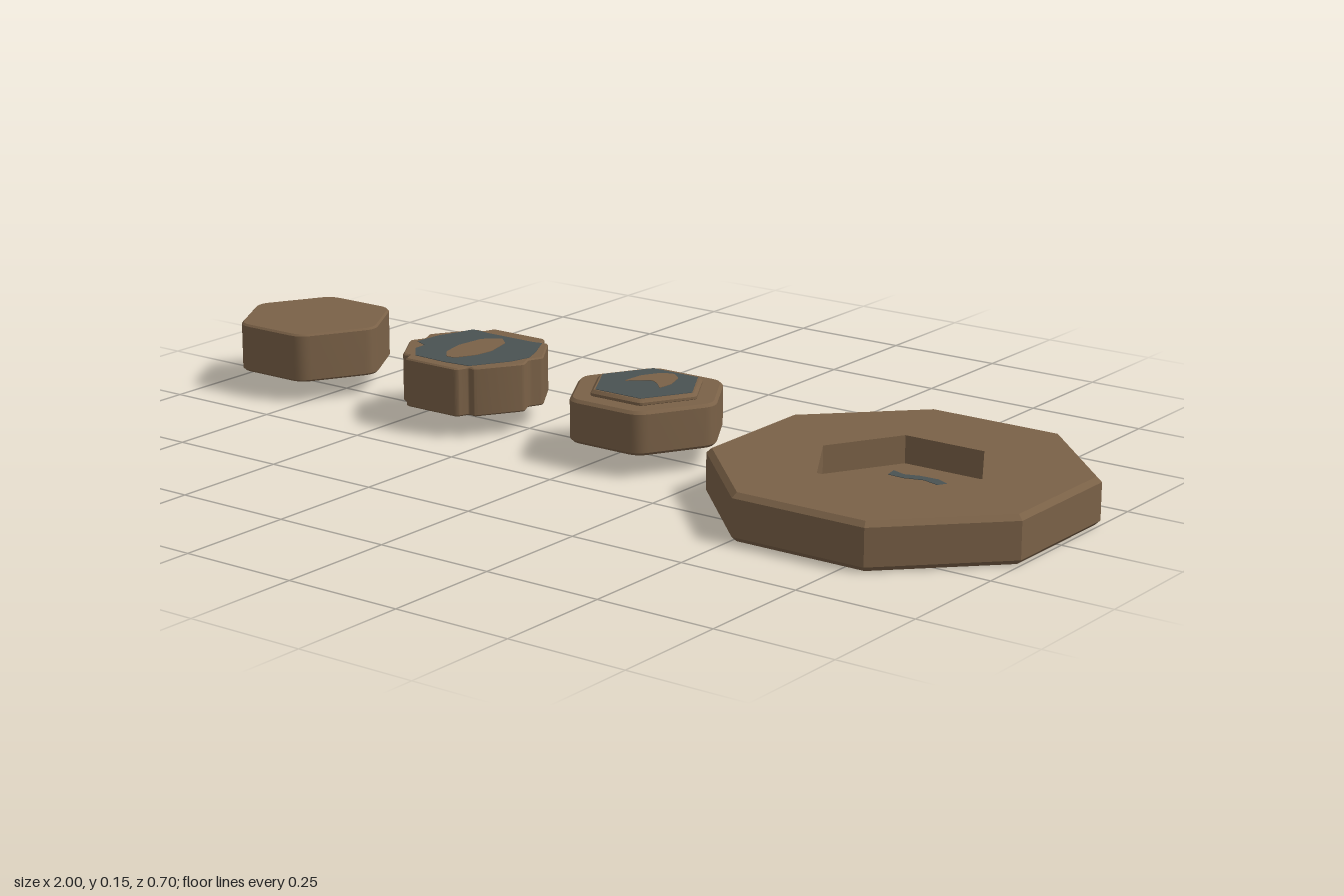
import * as THREE from 'three';
import { toCreasedNormals } from 'three/addons/utils/BufferGeometryUtils.js';

const wood = new THREE.MeshStandardMaterial({ color: 0x7a6147 });
wood.name = 'brown';
const slate = new THREE.MeshStandardMaterial({ color: 0x4a5252 });
slate.name = 'slateGrey';

// Regular polygon as [x, z] points, first corner at the given angle
const polygon = (n, r, start = 0) => Array.from({ length: n }, (_, i) => {
  const a = start + (i / n) * Math.PI * 2;
  return [r * Math.cos(a), r * Math.sin(a)];
});

// Closed outline whose corners are cut back by d and rounded
function outline(points, d = 0) {
  const shape = new THREE.Shape();
  const p = points.map(([x, z]) => new THREE.Vector2(x, -z));
  p.forEach((c, i) => {
    const prev = p[(i + p.length - 1) % p.length], next = p[(i + 1) % p.length];
    const toward = (q) => c.clone().add(q.clone().sub(c).setLength(d));
    const a = toward(prev), b = toward(next);
    if (i === 0) shape.moveTo(a.x, a.y); else shape.lineTo(a.x, a.y);
    if (d > 0) shape.quadraticCurveTo(c.x, c.y, b.x, b.y);
  });
  shape.closePath();
  return shape;
}

// Upright slab from y0 to y1 with an optional small chamfer
function slab(name, points, y0, y1, material, { round = 0, bevel = 0 } = {}) {
  const geo = new THREE.ExtrudeGeometry(outline(points, round), {
    depth: y1 - y0 - 2 * bevel, curveSegments: 5, bevelEnabled: bevel > 0,
    bevelSize: bevel, bevelThickness: bevel, bevelOffset: -bevel, bevelSegments: 1,
  });
  geo.rotateX(-Math.PI / 2).translate(0, y0 + bevel, 0);
  const mesh = new THREE.Mesh(toCreasedNormals(geo, 0.6), material);
  mesh.name = name;
  return mesh;
}

// Faceted wall: [radius, y] profile around a polygon with n sides
function facetedWall(name, profile, n, start) {
  const pts = profile.map(([r, y]) => new THREE.Vector2(r, y));
  const geo = new THREE.LatheGeometry(pts, n, start).toNonIndexed();
  geo.computeVertexNormals();
  const mesh = new THREE.Mesh(geo, wood);
  mesh.name = name;
  return mesh;
}

function piece(name, x, ...parts) {
  const g = new THREE.Group();
  g.name = name;
  g.position.x = x;
  g.add(...parts);
  return g;
}

function createPlate() {
  const k = 1 / Math.cos(Math.PI / 8);
  const rOut = 0.35 * k, rIn = 0.34 * k, rHole = 0.178, height = 0.095;
  const parts = [
    facetedWall('outerWall', [[rIn, 0], [rOut, 0.01], [rOut, 0.085], [rIn, height]], 8, Math.PI / 8),
    facetedWall('socketWall', [[rHole, height], [rHole, 0]], 6, Math.PI / 6),
    slab('socketFloor', polygon(6, rHole), 0.034, 0.038, wood),
    slab('socketPatch', [[-0.08, -0.1], [-0.05, -0.09], [-0.02, -0.1], [0.02, -0.102], [0.055, -0.085],
      [0.06, -0.06], [0.035, -0.072], [0, -0.082], [-0.04, -0.07], [-0.075, -0.072]], 0.037, 0.039, slate),
  ];
  // Top and bottom faces with the six-sided opening
  for (const [label, y, turn] of [['topFace', height, -1], ['bottomFace', 0, 1]]) {
    const face = outline(polygon(8, rIn, Math.PI / 8));
    face.holes.push(outline(polygon(6, rHole)));
    const mesh = new THREE.Mesh(new THREE.ShapeGeometry(face).rotateX(turn * Math.PI / 2), wood);
    mesh.position.y = y;
    mesh.name = label;
    parts.push(mesh);
  }
  return piece('octagonPlate', 0.65, ...parts);
}

// Outline of the notched piece, mirrored from one quarter
function notchedOutline() {
  const q = [[0.153, 0.03], [0.094, 0.122], [0.078, 0.117], [0.068, 0.145]];
  const mx = [...q].reverse().map(([x, z]) => [-x, z]);
  const half = [...q, ...mx];
  const back = [...half].reverse().map(([x, z]) => [x, -z]);
  return [[0.138, 0], ...half, [-0.138, 0], ...back];
}

export function createModel() {
  const model = new THREE.Group();
  model.name = 'hexPieceSet';

  // Plain six-sided piece
  model.add(piece('plainPiece', -0.833,
    slab('plainBody', polygon(6, 0.169), 0.045, 0.148, wood, { round: 0.025, bevel: 0.004 })));

  // Notched piece with an inlaid top
  model.add(piece('notchedPiece', -0.39,
    slab('notchedBody', notchedOutline(), 0.045, 0.147, wood, { round: 0.007, bevel: 0.003 }),
    slab('notchedInlay', [[-0.1, -0.112], [-0.078, -0.112], [-0.06, -0.108], [0.06, -0.108], [0.085, -0.112],
      [0.115, -0.055], [0.133, -0.01], [0.122, 0.035], [0.095, 0.08], [0.075, 0.114], [0.015, 0.12],
      [-0.065, 0.116], [-0.1, 0.075], [-0.1, 0.045], [-0.132, 0.03], [-0.127, -0.03], [-0.11, -0.075]],
    0.146, 0.148, slate),
    slab('notchedPatch', [[-0.003, -0.09], [0.025, -0.065], [0.042, 0], [0.036, 0.043], [0.013, 0.086],
      [-0.008, 0.086], [-0.03, 0.058], [-0.042, 0.005], [-0.035, -0.06]], 0.147, 0.149, wood, { round: 0.006 })));

  // Stepped piece with a raised, inlaid cap
  model.add(piece('steppedPiece', 0.05,
    slab('steppedBody', polygon(6, 0.169), 0.045, 0.135, wood, { round: 0.025, bevel: 0.006 }),
    slab('raisedCap', polygon(6, 0.122), 0.13, 0.147, wood, { round: 0.008, bevel: 0.006 }),
    slab('capInlay', polygon(6, 0.111), 0.146, 0.148, slate),
    slab('capPatch', [[-0.045, 0.015], [-0.042, -0.035], [-0.02, -0.075], [0.005, -0.085], [0.03, -0.065],
      [0.045, -0.02], [0.042, 0.015], [0.02, -0.008], [0, -0.02], [-0.022, -0.008]], 0.147, 0.149, wood, { round: 0.005 })));

  model.add(createPlate());
  return model;
}
